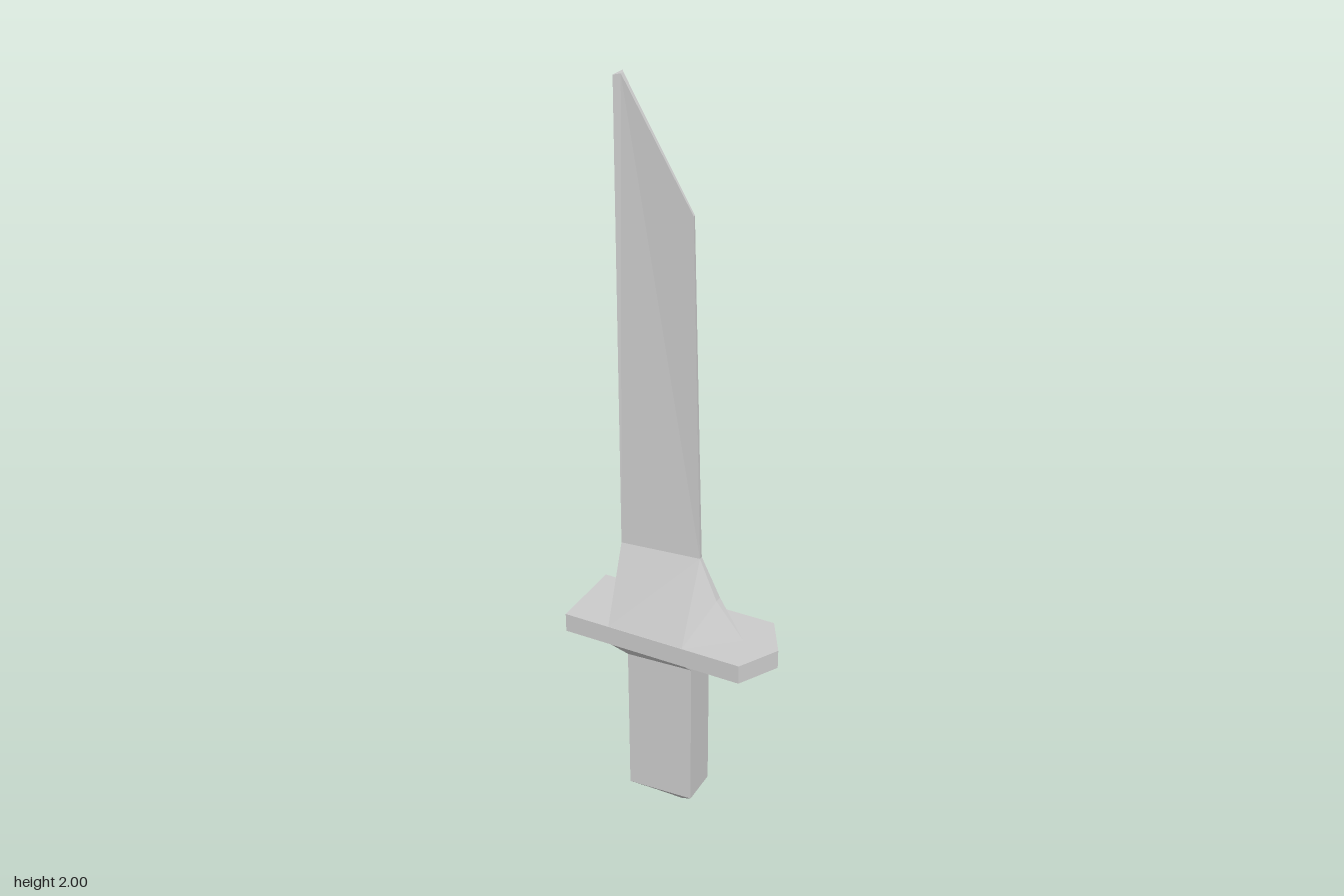
import * as THREE from 'three';

const material = new THREE.MeshStandardMaterial({ color: 0xcccccc, flatShading: true });

// Solid mirrored across z = 0: faces cover the +z half (counter-clockwise from the front),
// rim is the counter-clockwise outline whose edges are bridged from front to back.
function mirroredSolid(name, points, faces, rim) {
  const front = (k) => new THREE.Vector3(...points[k]);
  const back = (k) => front(k).multiply(new THREE.Vector3(1, 1, -1));
  const positions = [];
  const tri = (a, b, c) => {
    if (new THREE.Triangle(a, b, c).getArea() > 1e-8) {
      for (const v of [a, b, c]) positions.push(v.x, v.y, v.z);
    }
  };
  for (const face of faces) {
    for (let i = 1; i < face.length - 1; i++) {
      const [a, b, c] = [face[0], face[i], face[i + 1]];
      tri(front(a), front(b), front(c));
      tri(back(a), back(c), back(b));
    }
  }
  for (let i = 0; i < rim.length; i++) {
    const p = rim[i];
    const q = rim[(i + 1) % rim.length];
    tri(front(p), back(p), back(q));
    tri(front(p), back(q), front(q));
  }
  const geometry = new THREE.BufferGeometry();
  geometry.setAttribute('position', new THREE.Float32BufferAttribute(positions, 3));
  geometry.computeVertexNormals();
  const mesh = new THREE.Mesh(geometry, material);
  mesh.name = name;
  return mesh;
}

export function createModel() {
  const model = new THREE.Group();
  model.name = 'shortSword';

  // Grip: tapered-section handle, flared under the guard, chamfered pommel
  model.add(mirroredSolid('grip', {
    flareL: [-0.153, 0.535, 0.105], flareR: [0.06, 0.535, 0.105],
    topL: [-0.12, 0.485, 0.063], topR: [0.06, 0.485, 0.052],
    lowL: [-0.12, 0.055, 0.063], lowR: [0.06, 0.055, 0.052],
    endL: [-0.07, 0, 0.004], endR: [0.01, 0, 0.004],
  }, [
    ['topL', 'topR', 'flareR', 'flareL'],
    ['lowL', 'lowR', 'topR', 'topL'],
    ['endL', 'endR', 'lowR', 'lowL'],
  ], ['endL', 'endR', 'lowR', 'topR', 'flareR', 'flareL', 'topL', 'lowL']));

  // Guard: flat plate with a pointed end on the cutting side
  const plate = new THREE.Shape([
    [-0.28, -0.106], [0.22, -0.106], [0.28, 0], [0.22, 0.106], [-0.28, 0.106],
  ].map(([x, y]) => new THREE.Vector2(x, y)));
  const plateGeometry = new THREE.ExtrudeGeometry(plate, { depth: 0.053, bevelEnabled: false });
  plateGeometry.rotateX(-Math.PI / 2).translate(0, 0.534, 0);
  const guard = new THREE.Mesh(plateGeometry, material);
  guard.name = 'guard';
  model.add(guard);

  // Blade: thick spine on the left, thin edge on the right, flared base with a spur
  model.add(mirroredSolid('blade', {
    baseL: [-0.153, 0.587, 0.105], baseR: [0.06, 0.587, 0.105],
    spur: [0.182, 0.587, 0], spurTop: [0.11, 0.69, 0.01],
    neckL: [-0.153, 0.8, 0.027], neckR: [0.06, 0.8, 0.005],
    edgeTip: [0.037, 1.7, 0.003],
    tipR: [-0.142, 2, 0.006], tipL: [-0.153, 2, 0.023],
  }, [
    ['baseL', 'baseR', 'neckR', 'neckL'],
    ['baseR', 'spurTop', 'neckR'],
    ['baseR', 'spur', 'spurTop'],
    ['neckL', 'neckR', 'tipR', 'tipL'],
    ['neckR', 'edgeTip', 'tipR'],
  ], ['baseL', 'baseR', 'spur', 'spurTop', 'neckR', 'edgeTip', 'tipR', 'tipL', 'neckL']));

  return model;
}
